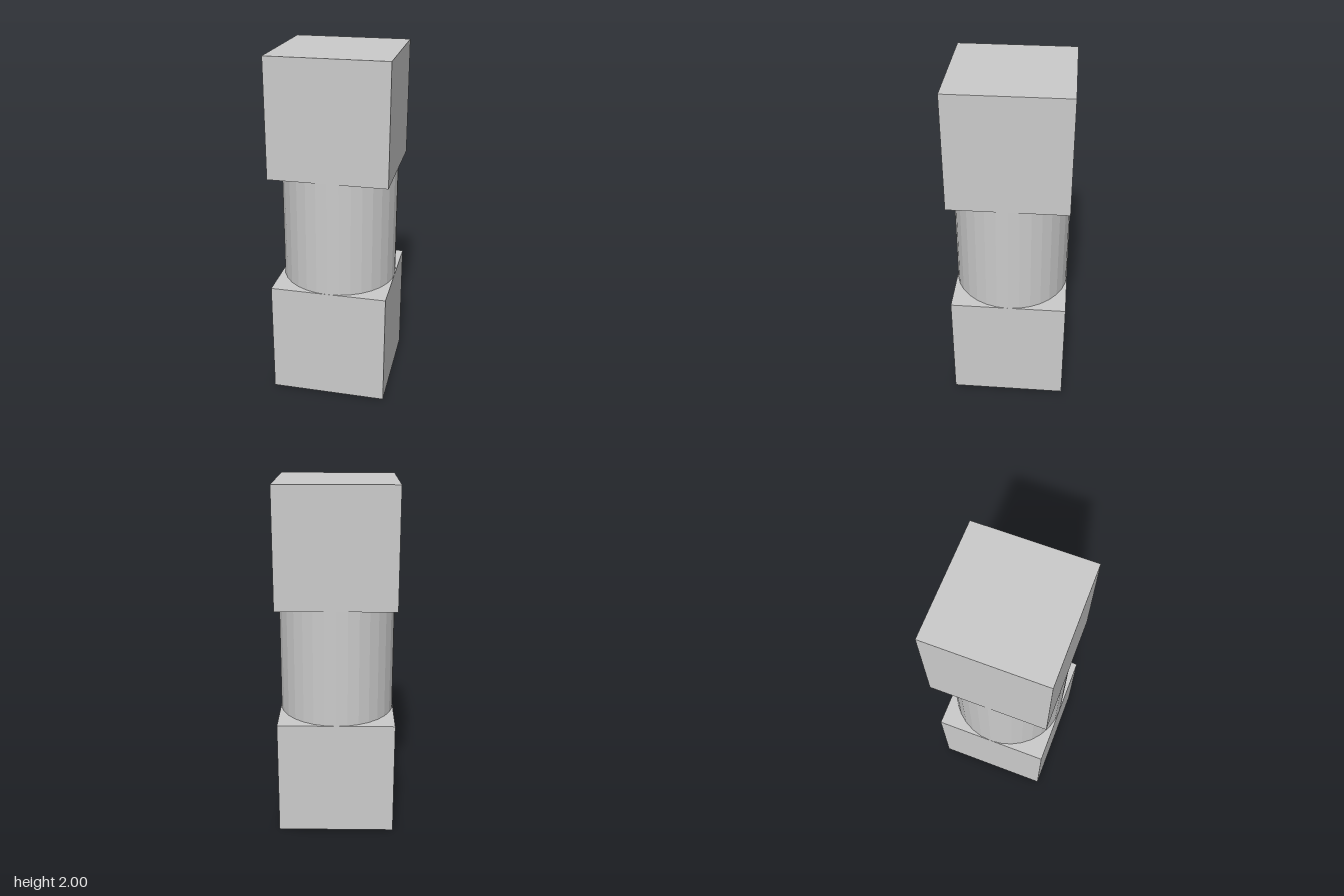
import * as THREE from 'three';

export function createModel() {
  const group = new THREE.Group();
  const material = new THREE.MeshStandardMaterial({ color: 0xcccccc, flatShading: true });
  const size = 2 / 3;

  const add = (name, geometry, y) => {
    const mesh = new THREE.Mesh(geometry, material);
    mesh.name = name;
    mesh.position.y = y;
    group.add(mesh);
  };

  // Two equal cubes joined by a round, faceted column of the same width
  const cube = new THREE.BoxGeometry(size, size, size);
  add('lowerBlock', cube, size / 2);
  add('column', new THREE.CylinderGeometry(size / 2, size / 2, size, 32), 1);
  add('upperBlock', cube, 2 - size / 2);

  return group;
}
